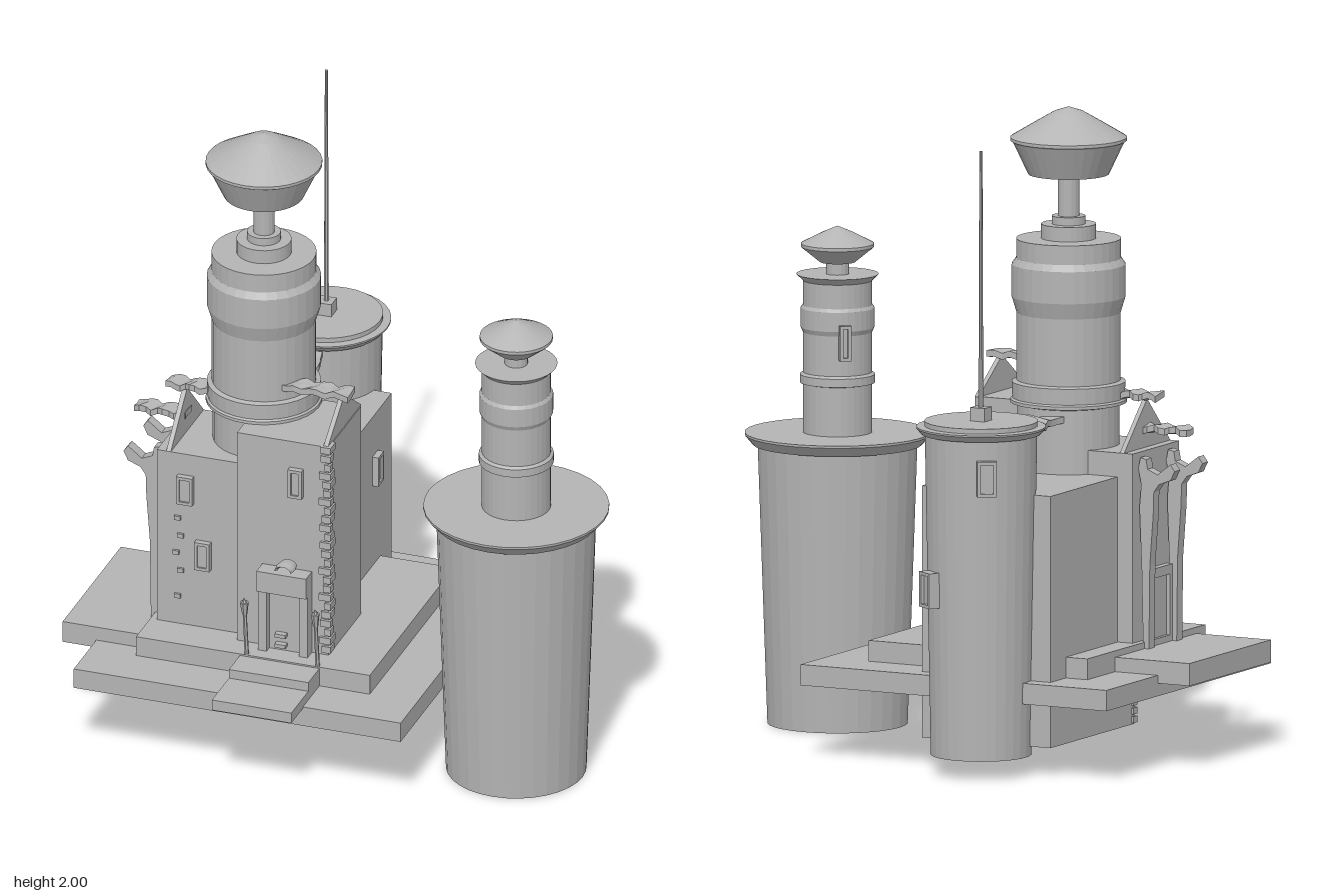
import * as THREE from 'three';

export function createModel() {
  const model = new THREE.Group();
  const stone = new THREE.MeshStandardMaterial({ color: 0xb4b4b4, flatShading: true, side: THREE.DoubleSide });
  stone.name = 'grey stone';

  const add = (name, geo, x = 0, y = 0, z = 0, parent = model) => {
    const m = new THREE.Mesh(geo, stone);
    m.name = name;
    m.position.set(x, y, z);
    parent.add(m);
    return m;
  };
  // Box from its minimum and maximum on each axis
  const box = (name, x0, x1, y0, y1, z0, z1) =>
    add(name, new THREE.BoxGeometry(x1 - x0, y1 - y0, z1 - z0), (x0 + x1) / 2, (y0 + y1) / 2, (z0 + z1) / 2);
  // Turned part from [radius, height] pairs, bottom to top
  const lathe = (name, pts, x, z, sides = 32) =>
    add(name, new THREE.LatheGeometry(pts.map(p => new THREE.Vector2(...p)), sides), x, 0, z);

  // Terraces and steps
  box('lowerTerrace', -0.75, 0.32, 0.23, 0.295, -0.5, 0.57);
  box('upperTerrace', -0.6, 0.165, 0.295, 0.36, -0.345, 0.42);
  box('sideTerrace', -0.86, -0.6, 0.27, 0.34, -0.165, 0.365);
  box('lowerStep', -0.26, 0, 0.29, 0.325, 0.42, 0.675);
  box('upperStep', -0.26, 0, 0.29, 0.355, 0.42, 0.52);

  // House blocks
  box('rearBlock', -0.525, -0.075, 0.09, 0.875, -0.445, 0.1);
  box('frontBlock', -0.3, 0, 0.145, 1.08, 0.04, 0.335);
  box('sideBlock', -0.578, -0.3, 0.3, 0.95, -0.01, 0.29);

  // Thin gable plates standing on the walls
  const gable = (x, y, z0, z1, h) => {
    const s = new THREE.Shape([[-z0, 0], [-z1, 0], [-(z0 + z1) / 2, h]].map(p => new THREE.Vector2(...p)));
    const g = new THREE.ExtrudeGeometry(s, { depth: 0.015, bevelEnabled: false });
    add('gable', g, x, y, 0).rotation.y = Math.PI / 2;
  };
  gable(-0.018, 1.08, 0.03, 0.335, 0.11);
  gable(-0.548, 0.95, -0.01, 0.29, 0.15);

  // Ragged planks over the gables
  const plank = (name, len, width, x, y, z, turn = 0) => {
    const g = new THREE.BoxGeometry(len, 0.02, width, 9, 1, 2);
    const p = g.attributes.position;
    for (let i = 0; i < p.count; i++) {
      const px = p.getX(i), pz = p.getZ(i);
      p.setY(i, p.getY(i) + 0.006 * Math.sin(px * 90 + pz * 40));
      p.setZ(i, pz * (1 + 0.16 * Math.sin(px * 170)));
    }
    add(name, g, x, y, z).rotation.y = turn;
  };
  plank('frontRoofPlank', 0.23, 0.06, -0.095, 1.195, 0.185);
  plank('sideRoofPlank', 0.14, 0.055, -0.525, 1.11, 0.135);
  plank('sideDoorPlank', 0.17, 0.055, -0.615, 1.01, 0.135);
  plank('rearRoofPlank', 0.28, 0.12, -0.3, 1.045, -0.16, Math.PI / 2);

  // Main round tower with mushroom cap
  lathe('mainTower', [[0, 0.87], [0.158, 0.87], [0.158, 1.075], [0.18, 1.08], [0.18, 1.09], [0.174, 1.095],
    [0.176, 1.145], [0.161, 1.15], [0.161, 1.36], [0.176, 1.41], [0.176, 1.51], [0.162, 1.53], [0.162, 1.59],
    [0.085, 1.59], [0.085, 1.635], [0.052, 1.635], [0.052, 1.66], [0, 1.66]], -0.3, 0.09);
  lathe('mainTowerStem', [[0.033, 1.65], [0.033, 1.8]], -0.3, 0.09, 16);
  lathe('mainTowerCap', [[0, 1.787], [0.125, 1.79], [0.172, 1.89], [0.18, 1.895], [0.18, 1.905],
    [0.105, 1.95], [0.045, 1.985], [0, 2]], -0.3, 0.09);

  // Large tapered tower standing apart
  const tx = 0.56, tz = 0.185;
  lathe('largeTower', [[0, 0], [0.217, 0], [0.247, 0.87], [0.262, 0.87], [0.287, 0.9], [0.287, 0.907],
    [0, 0.907]], tx, tz);
  lathe('turret', [[0.107, 0.9], [0.107, 1.06], [0.116, 1.062], [0.116, 1.088], [0.107, 1.095], [0.107, 1.22],
    [0.114, 1.235], [0.114, 1.295], [0.107, 1.305], [0.107, 1.38], [0.127, 1.4], [0, 1.4]], tx, tz);
  lathe('turretStem', [[0.036, 1.4], [0.036, 1.44]], tx, tz, 16);
  lathe('turretCap', [[0, 1.432], [0.055, 1.437], [0.108, 1.48], [0.113, 1.485], [0.113, 1.495],
    [0.045, 1.53], [0, 1.549]], tx, tz);

  // Rear tower with mast
  lathe('rearTower', [[0, 0.06], [0.156, 0.06], [0.174, 1.06], [0.185, 1.06], [0.2, 1.078], [0.2, 1.083],
    [0.175, 1.085], [0.175, 1.1], [0, 1.1]], -0.3, -0.478);
  box('mastBase', -0.325, -0.275, 1.1, 1.142, -0.503, -0.453);
  add('mast', new THREE.CylinderGeometry(0.005, 0.008, 0.8, 8), -0.3, 1.54, -0.478);

  // Window with a raised frame and recessed pane, facing +z in its own group
  const frame = (name, w, h, x, y, z, turn = 0, depth = 0.02, rim = 0.01) => {
    const g = new THREE.Group();
    g.name = name;
    const s = new THREE.Shape([[-w, -h], [w, -h], [w, h], [-w, h]].map(p => new THREE.Vector2(p[0] / 2, p[1] / 2)));
    const a = w / 2 - rim, b = h / 2 - rim;
    s.holes.push(new THREE.Path([[-a, -b], [-a, b], [a, b], [a, -b]].map(p => new THREE.Vector2(...p))));
    add('frame', new THREE.ExtrudeGeometry(s, { depth, bevelEnabled: false }), 0, 0, 0, g);
    add('pane', new THREE.BoxGeometry(2 * a, 2 * b, depth * 0.7), 0, 0, depth * 0.35, g);
    g.position.set(x, y, z);
    g.rotation.y = turn;
    model.add(g);
  };
  frame('upperSideWindow', 0.052, 0.095, -0.483, 0.83, 0.29);
  frame('lowerSideWindow', 0.05, 0.095, -0.425, 0.612, 0.29);
  frame('frontWindow', 0.045, 0.097, -0.105, 0.942, 0.335);
  for (const z of [-0.295, -0.055]) frame('rearBlockWindow', 0.05, 0.1, -0.075, 0.688, z, Math.PI / 2);
  // Windows set around the round towers: centre, radius, height, angle
  const roundWindow = (cx, cz, r, y, angle, w, h, depth) =>
    frame('towerWindow', w, h, cx + r * Math.sin(angle), y, cz + r * Math.cos(angle), angle, depth);
  roundWindow(-0.3, -0.478, 0.158, 0.585, 2.55, 0.065, 0.11, 0.04);
  roundWindow(-0.3, -0.478, 0.166, 0.945, -2.55, 0.06, 0.11, 0.025);
  roundWindow(tx, tz, 0.1, 1.2, -2.45, 0.035, 0.11, 0.03);

  // Front door with jambs, lintel, leaf, handles and ornament
  box('doorLeaf', -0.19, -0.075, 0.36, 0.57, 0.335, 0.35);
  for (const x of [-0.217, -0.083]) box('doorJamb', x, x + 0.028, 0.36, 0.575, 0.335, 0.375);
  box('doorLintel', -0.217, -0.055, 0.57, 0.64, 0.335, 0.39);
  for (const y of [0.375, 0.41]) box('doorLatch', -0.165, -0.13, y, y + 0.012, 0.35, 0.37);
  const arch = add('doorOrnament', new THREE.TorusGeometry(0.025, 0.006, 5, 8, Math.PI), -0.125, 0.66, 0.38);
  arch.scale.set(1, 0.7, 5);

  // Side door
  box('sideDoorLeaf', -0.588, -0.57, 0.34, 0.55, 0.08, 0.19);
  for (const z of [0.06, 0.19]) box('sideDoorJamb', -0.6, -0.57, 0.34, 0.575, z, z + 0.02);
  box('sideDoorLintel', -0.6, -0.57, 0.55, 0.58, 0.06, 0.21);

  // Forked posts beside the side door
  const fork = new THREE.Shape([[-0.615, 0.34], [-0.595, 0.34], [-0.59, 0.58], [-0.582, 0.78], [-0.588, 0.85],
    [-0.578, 0.9], [-0.585, 0.935], [-0.605, 0.93], [-0.61, 0.9], [-0.645, 0.885], [-0.67, 0.905], [-0.69, 0.92],
    [-0.705, 0.9], [-0.69, 0.87], [-0.65, 0.855], [-0.632, 0.83], [-0.63, 0.76], [-0.618, 0.6]]
    .map(p => new THREE.Vector2(...p)));
  for (const z of [0.045, 0.225])
    add('forkedPost', new THREE.ExtrudeGeometry(fork, { depth: 0.036, bevelEnabled: false }), 0, 0, z - 0.018);

  // Lamps flanking the front door
  for (const x of [-0.24, -0.008]) {
    const lamp = new THREE.Group();
    lamp.name = 'lamp';
    add('lampPole', new THREE.CylinderGeometry(0.006, 0.007, 0.18, 6), 0, 0.09, 0, lamp);
    add('lampHead', new THREE.CylinderGeometry(0.014, 0.008, 0.045, 6), 0, 0.18, 0, lamp);
    add('lampTip', new THREE.ConeGeometry(0.01, 0.02, 6), 0, 0.21, 0, lamp);
    lamp.position.set(x, 0.35, 0.412);
    lamp.rotation.x = 0.12;
    model.add(lamp);
  }

  // Rough corner stones
  for (let i = 0; i < 24; i++) {
    const y = 0.37 + i * 0.03, w = 0.02 + 0.01 * Math.sin(i * 2.3), d = 0.03 + 0.012 * Math.sin(i * 1.7);
    box('cornerStone', -w, 0.009, y, y + 0.022, 0.338 - d, 0.344);
  }
  for (let i = 0; i < 5; i++)
    box('footStone', -0.532, -0.508, 0.095 + i * 0.027, 0.115 + i * 0.027, 0.08, 0.108);
  for (const [x, y] of [[-0.52, 0.45], [-0.51, 0.54], [-0.525, 0.6], [-0.51, 0.66], [-0.52, 0.72]])
    box('wallStone', x, x + 0.02, y, y + 0.014, 0.285, 0.298);

  return model;
}
